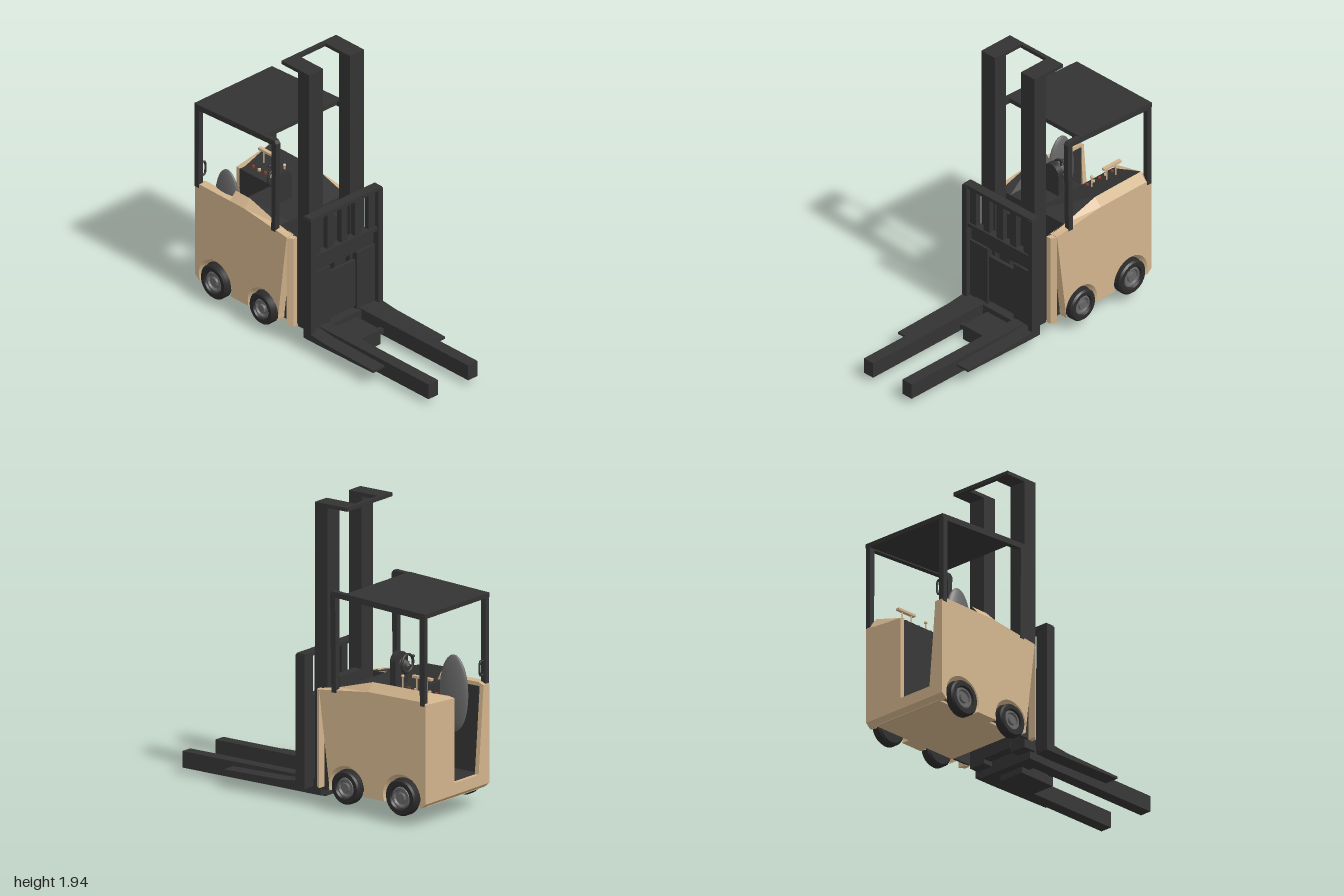
import * as THREE from 'three';
import { toCreasedNormals } from 'three/addons/utils/BufferGeometryUtils.js';

const paint = (color, extra = {}) => new THREE.MeshStandardMaterial({ color, side: THREE.DoubleSide, ...extra });
const TAN = paint(0xd2b48c), DARK = paint(0x333333), RUBBER = paint(0x2b2b2b);
const GREY = paint(0x666666), RED = paint(0x8a3a28);

export function createModel() {
  const model = new THREE.Group();

  const add = (name, geometry, material, parent = model) => {
    const mesh = new THREE.Mesh(geometry, material);
    mesh.name = name;
    parent.add(mesh);
    return mesh;
  };
  // Box given by its limits on each axis
  const box = (name, mat, x0, x1, y0, y1, z0, z1) => add(name,
    new THREE.BoxGeometry(x1 - x0, y1 - y0, z1 - z0).translate((x0 + x1) / 2, (y0 + y1) / 2, (z0 + z1) / 2), mat);
  // The same box on both sides
  const pair = (name, mat, x0, x1, ...rest) => {
    box(name, mat, x0, x1, ...rest);
    box(name, mat, -x1, -x0, ...rest);
  };
  const polygon = pts => new THREE.Shape(pts.map(p => new THREE.Vector2(...p)));
  // Profile in (z, y) extruded along x, ending at xMax
  const sideExtrude = (shape, width, xMax) =>
    new THREE.ExtrudeGeometry(shape, { depth: width, bevelEnabled: false, curveSegments: 24 })
      .rotateY(-Math.PI / 2).translate(xMax, 0, 0);
  // Faceted surface between two polylines
  const strip = (name, mat, a, b) => {
    const pos = [];
    for (let i = 0; i < a.length - 1; i++)
      pos.push(...a[i], ...b[i], ...a[i + 1], ...a[i + 1], ...b[i], ...b[i + 1]);
    const g = new THREE.BufferGeometry();
    g.setAttribute('position', new THREE.Float32BufferAttribute(pos, 3));
    g.computeVertexNormals();
    return add(name, g, mat);
  };

  // Body sides with wheel arches
  const wheels = [{ z: -0.38, y: 0.165, r: 0.108 }, { z: -0.815, y: 0.173, r: 0.117 }];
  const BOTTOM = 0.125;
  const side = new THREE.Shape();
  side.moveTo(-0.165, BOTTOM);
  for (const w of wheels) {
    w.arch = w.r + 0.03;
    w.dip = Math.asin((w.y - BOTTOM) / w.arch);
    side.absarc(w.z, w.y, w.arch, -w.dip, Math.PI + w.dip, false);
  }
  for (const p of [[-0.965, BOTTOM], [-1, 0.155], [-1, 0.8], [-0.96, 0.815], [-0.55, 0.812], [-0.165, 0.765]]) side.lineTo(...p);

  // Tyre and hub profiles as radius and depth
  const lathe = pts => toCreasedNormals(
    new THREE.LatheGeometry(pts.map(p => new THREE.Vector2(...p)), 40), 0.6);
  const tyre = lathe([[0, 0], [0.095, 0], [0.108, 0.012], [0.108, 0.056], [0.098, 0.068], [0.072, 0.068], [0.064, 0.05]]);
  const hub = lathe([[0.066, 0.05], [0.06, 0.06], [0.05, 0.06], [0.044, 0.046], [0.03, 0.046], [0.028, 0.062], [0, 0.062]]);

  const crease = [[-0.13, 0.755], [-0.28, 0.779], [-0.55, 0.812], [-0.68, 0.813], [-0.955, 0.815]];
  const ridge = [[-0.13, 0.758], [-0.28, 0.788], [-0.55, 0.866], [-0.68, 0.868], [-0.955, 0.87]];

  for (const s of [1, -1]) {
    add('bodySide', sideExtrude(side, 0.06, s > 0 ? 0.33 : -0.27), TAN);

    // Chamfered front corner
    const corner = new THREE.ExtrudeGeometry(
      polygon([[s * 0.272, 0.165], [s * 0.33, 0.165], [s * 0.305, 0.13], [s * 0.272, 0.13]]),
      { depth: 0.635, bevelEnabled: false }).rotateX(-Math.PI / 2).translate(0, BOTTOM, -0.0);
    corner.scale(1, 1, 1);
    add('frontCorner', corner, TAN);
    // plan shape is drawn with y pointing to the rear, which rotateX maps to -z

    // Sloping upper edge and the dark deck inside it
    const n = s > 0 ? 5 : 4, inner = s > 0 ? 0.03 : -0.2;
    const top = ridge.slice(0, n).map(([z, y]) => [s * 0.28, y, z]);
    strip('upperChamfer', TAN, crease.slice(0, n).map(([z, y], i) => [s * (i ? 0.33 : 0.305), y, z]), top);
    strip('deckSlope', DARK, top.slice(1), ridge.slice(1, n).map(([z]) => [inner, 0.782, z]));
    strip('deckLip', DARK, top.slice(0, 2), top.slice(0, 2).map(([x, y, z]) => [x * 0.93, y - 0.01, z]));

    // Wheels and flared arch linings
    for (const w of wheels) {
      const arc = (r, x) => Array.from({ length: 25 }, (_, i) => {
        const t = -w.dip + (Math.PI + 2 * w.dip) * i / 24;
        return [s * x, w.y + r * Math.sin(t), w.z + r * Math.cos(t)];
      });
      strip('archLining', TAN, arc(w.arch, 0.33), arc(w.r + 0.006, 0.3));
      const wheel = new THREE.Group();
      wheel.name = 'wheel';
      add('tyre', tyre, RUBBER, wheel);
      add('hub', hub, GREY, wheel);
      wheel.position.set(s * 0.284, w.y, w.z);
      wheel.rotation.z = -s * Math.PI / 2;
      wheel.scale.set(w.r / 0.108, 1, w.r / 0.108);
      model.add(wheel);
    }

    // Overhead guard frame
    add('guardFrame', sideExtrude(polygon([[-0.265, 0.765], [-0.255, 1.4], [-0.27, 1.42], [-0.98, 1.385], [-0.995, 1.37],
      [-0.995, 0.79], [-0.96, 0.79], [-0.957, 1.35], [-0.295, 1.383], [-0.3, 0.765]]), 0.036, s > 0 ? 0.335 : -0.299), DARK);

    // Low tapered arm outside each fork
    add('outerArm', sideExtrude(polygon([[0.6, 0.1], [0.6, 0.116], [0.15, 0.125], [-0.03, 0.145], [-0.03, 0.09], [0.1, 0.09]]),
      0.1, s > 0 ? 0.31 : -0.21), DARK);
  }

  // Back panel with the step-in opening
  add('backPanel', new THREE.ExtrudeGeometry(polygon([[-0.33, 0.155], [0.33, 0.155], [0.33, 0.8], [0.03, 0.782], [0.03, 0.23],
    [-0.22, 0.23], [-0.27, 0.79], [-0.33, 0.8]]), { depth: 0.03, bevelEnabled: false }).translate(0, 0, -1), TAN);
  strip('backBevel', TAN, [[-0.33, 0.155, -1], [0.33, 0.155, -1]], [[-0.33, BOTTOM, -0.965], [0.33, BOTTOM, -0.965]]);
  strip('backChamfer', TAN, [[0.33, 0.815, -0.96], [0.33, 0.8, -1], [0.03, 0.782, -1]],
    [[0.28, 0.87, -0.955], [0.28, 0.87, -0.955], [0.03, 0.79, -0.955]]);
  box('underside', TAN, -0.272, 0.272, BOTTOM, 0.145, -0.97, -0.285);

  // Interior: console, dash, floor and wall linings
  box('console', DARK, 0.03, 0.275, 0.14, 0.78, -0.972, -0.285);
  box('dash', DARK, -0.275, 0.03, 0.14, 0.78, -0.68, -0.285);
  box('floor', DARK, -0.275, 0.03, 0.14, 0.23, -0.972, -0.68);
  box('wallLining', DARK, -0.275, -0.26, 0.23, 0.79, -0.97, -0.68);
  pair('armLining', DARK, 0.26, 0.275, 0.13, 0.755, -0.29, -0.135);

  // Side backrest pad
  add('backrestPad', new THREE.SphereGeometry(1, 32, 20).scale(0.035, 0.25, 0.11).translate(-0.255, 0.717, -0.78), GREY);

  // Roof and grab handle
  const roof = add('roof', new THREE.BoxGeometry(0.668, 0.03, 0.63), DARK);
  roof.position.set(0, 1.388, -0.685);
  roof.rotation.x = -0.0486;
  const grab = new THREE.CatmullRomCurve3([[-0.3, 0.86], [-0.27, 0.86], [-0.262, 0.9], [-0.27, 0.95], [-0.3, 0.95]]
    .map(([x, y]) => new THREE.Vector3(x, y, -0.975)));
  add('grabHandle', new THREE.TubeGeometry(grab, 20, 0.007, 8), DARK);

  // Steering column and wheel
  const dome = new THREE.Shape();
  dome.moveTo(-0.11, 0.77);
  dome.lineTo(0.02, 0.77);
  dome.absarc(-0.045, 0.925, 0.065, 0, Math.PI, false);
  add('steeringColumn', new THREE.ExtrudeGeometry(dome, { depth: 0.045, bevelEnabled: false, curveSegments: 16 })
    .translate(0, 0, -0.53), DARK);
  add('steeringWheel', new THREE.TorusGeometry(0.058, 0.009, 10, 32).translate(-0.045, 0.92, -0.573), DARK);
  add('steeringHub', new THREE.CylinderGeometry(0.018, 0.024, 0.05, 16).rotateX(-Math.PI / 2).translate(-0.045, 0.92, -0.553), GREY);
  for (let i = 0; i < 3; i++)
    add('steeringSpoke', new THREE.BoxGeometry(0.01, 0.055, 0.006).translate(0, 0.03, 0)
      .rotateZ(i * Math.PI * 2 / 3).translate(-0.045, 0.92, -0.573), DARK);
  add('steeringKnobStem', new THREE.CylinderGeometry(0.005, 0.005, 0.05, 8).rotateX(Math.PI / 2).translate(-0.045, 0.977, -0.597), DARK);
  add('steeringKnob', new THREE.SphereGeometry(0.01, 12, 8).translate(-0.045, 0.977, -0.62), DARK);

  // Console controls
  const deckY = x => 0.782 + (x - 0.03) * 0.34;
  box('controlGrip', TAN, 0.13, 0.155, 0.902, 0.918, -0.91, -0.76);
  for (const [x, z, y] of [[0.142, -0.79, 0.905], [0.142, -0.87, 0.905], [0.13, -0.67, 0.888]])
    add('leverStem', new THREE.CylinderGeometry(0.005, 0.005, y - deckY(x), 8).translate(x, (y + deckY(x)) / 2, z), TAN);
  add('leverKnob', new THREE.SphereGeometry(0.011, 12, 8).translate(0.13, 0.892, -0.67), TAN);
  for (let i = 0; i < 5; i++)
    add('button', new THREE.CylinderGeometry(0.011, 0.011, 0.016, 12).translate(0.08, deckY(0.08) + 0.006, -0.9 + i * 0.055),
      i % 2 ? TAN : RED);

  // Mast with top frame and lower cross plate
  pair('mastRail', DARK, 0.115, 0.235, 0.09, 1.94, -0.16, -0.06);
  pair('mastTopArm', DARK, 0.115, 0.235, 1.92, 1.944, -0.31, -0.06);
  box('mastTopBar', DARK, -0.235, 0.235, 1.92, 1.944, -0.312, -0.285);
  box('mastCrossPlate', DARK, -0.115, 0.115, 0.12, 0.8, -0.165, -0.1);
  box('liftCylinder', DARK, -0.04, 0.04, 0.16, 0.59, -0.1, -0.035);

  // Carriage and load guard
  pair('carriagePost', DARK, 0.272, 0.31, 0.09, 0.955, -0.035, 0.035);
  box('carriageTopBar', DARK, -0.305, 0.305, 0.94, 0.965, -0.035, 0.03);
  box('carriageMidBar', DARK, -0.29, 0.29, 0.655, 0.682, -0.03, 0.025);
  box('carriageUpperPlate', DARK, -0.275, 0.275, 0.545, 0.66, -0.03, -0.012);
  pair('carriageSidePlate', DARK, 0.115, 0.275, 0.1, 0.548, -0.035, 0.005);
  box('carriageCentrePlate', DARK, -0.115, 0.115, 0.16, 0.49, -0.035, -0.01);
  for (let i = -2; i <= 2; i++)
    box('guardSlat', DARK, i * 0.118 - 0.027, i * 0.118 + 0.027, 0.66, 0.945, -0.025, 0.012);

  // Forks and the block between them
  pair('fork', DARK, 0.13, 0.212, 0.04, 0.147, -0.09, 1);
  box('forkCrossBar', DARK, -0.14, 0.14, 0.06, 0.09, 0.2, 0.235);
  box('forkBase', DARK, -0.215, 0.215, 0.04, 0.14, -0.09, 0.03);
  box('lowerBlock', DARK, -0.092, 0.092, 0, 0.105, -0.035, 0.245);

  return model;
}
